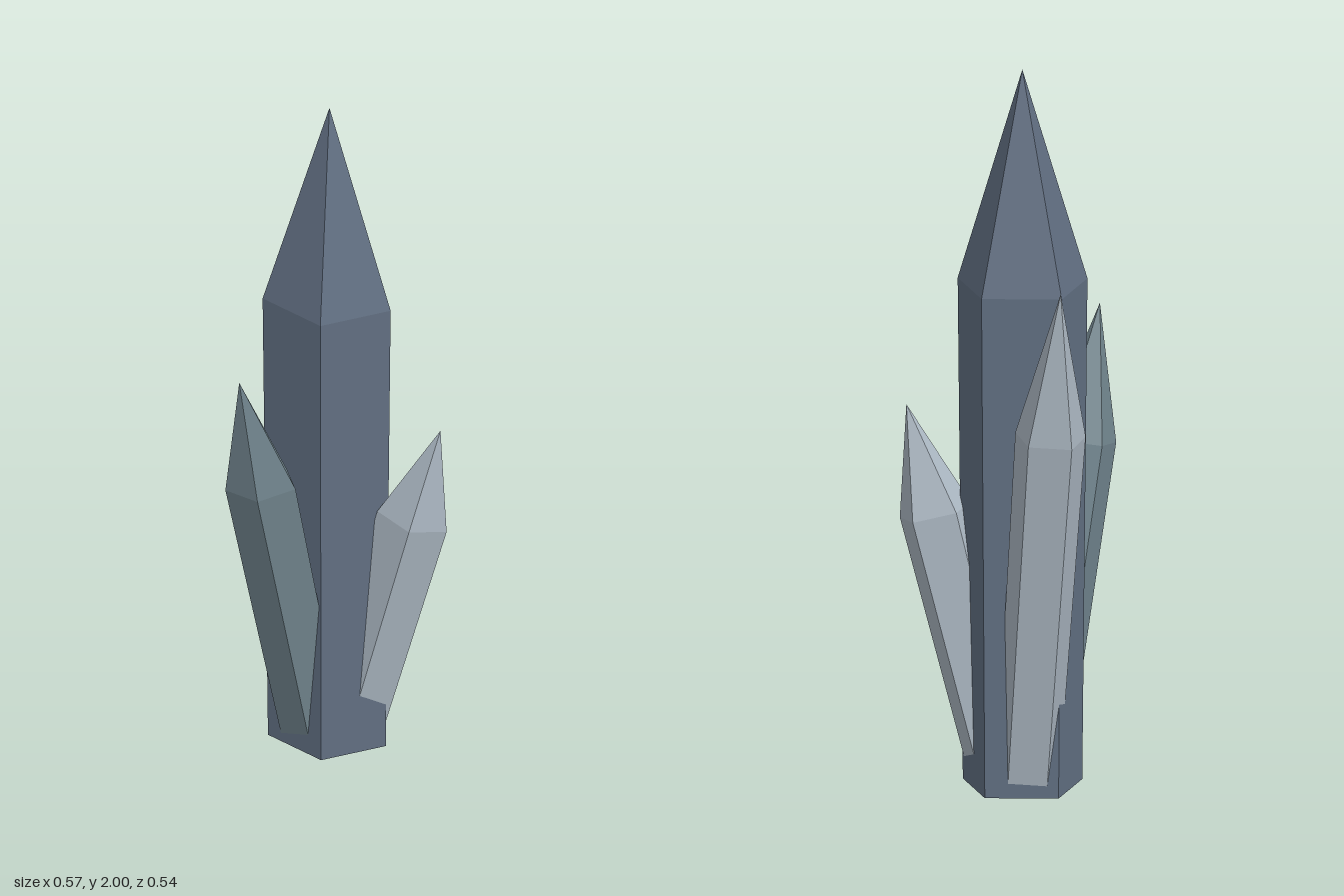
import * as THREE from 'three';

const SIDES = 5;

// Pointed five-sided crystal: oval rings at the foot and shoulder, then a tip.
// Rings are tilted so they stay square to the crystal's axis.
function crystalGeometry({ foot, shoulder, tip, rx, rz, taper }) {
  const axis = new THREE.Vector3(...tip).sub(new THREE.Vector3(...foot));
  const sx = axis.x / axis.y, sz = axis.z / axis.y;
  const ring = (c, k) => Array.from({ length: SIDES }, (_, i) => {
    const a = (i / SIDES) * Math.PI * 2;
    const dx = Math.sin(a) * rx * k, dz = Math.cos(a) * rz * k;
    return [c[0] + dx, c[1] - dx * sx - dz * sz, c[2] + dz];
  });
  const low = ring(foot, taper), high = ring(shoulder, 1);
  const pos = [];
  for (let i = 0; i < SIDES; i++) {
    const j = (i + 1) % SIDES;
    pos.push(...low[i], ...low[j], ...high[j]);   // shaft
    pos.push(...low[i], ...high[j], ...high[i]);
    pos.push(...high[i], ...high[j], ...tip);     // point
    pos.push(...low[j], ...low[i], ...foot);      // underside
  }
  const g = new THREE.BufferGeometry();
  g.setAttribute('position', new THREE.Float32BufferAttribute(pos, 3));
  g.computeVertexNormals();
  return g;
}

export function createModel() {
  const group = new THREE.Group();
  group.name = 'crystalCluster';

  const material = (name, color) => {
    const m = new THREE.MeshStandardMaterial({ color });
    m.name = name;
    m.flatShading = true;
    return m;
  };
  const slate = material('darkSlate', 0x627083);
  const blueGrey = material('blueGrey', 0x72868f);
  const paleGrey = material('paleGrey', 0xadb9c4);

  const crystals = [
    // Tall upright centre
    { name: 'mainCrystal', mat: slate, foot: [-0.04, 0, 0.022], shoulder: [-0.04, 1.4, 0.022],
      tip: [-0.04, 2, 0.022], rx: 0.179, rz: 0.144, taper: 0.92 },
    // Three smaller ones leaning outwards
    { name: 'frontCrystal', mat: blueGrey, foot: [-0.073, 0.03, 0.065], shoulder: [-0.19, 0.9, 0.201],
      tip: [-0.24, 1.26, 0.26], rx: 0.098, rz: 0.0675, taper: 0.9 },
    { name: 'leftCrystal', mat: paleGrey, foot: [0.03, 0.085, 0.035], shoulder: [0.19, 0.745, 0.065],
      tip: [0.265, 1.04, 0.08], rx: 0.097, rz: 0.0675, taper: 0.9 },
    { name: 'backCrystal', mat: paleGrey, foot: [-0.055, 0.04, -0.035], shoulder: [-0.117, 1.05, -0.198],
      tip: [-0.145, 1.48, -0.27], rx: 0.097, rz: 0.068, taper: 0.9 },
  ];
  for (const c of crystals) {
    const mesh = new THREE.Mesh(crystalGeometry(c), c.mat);
    mesh.name = c.name;
    group.add(mesh);
  }
  return group;
}
